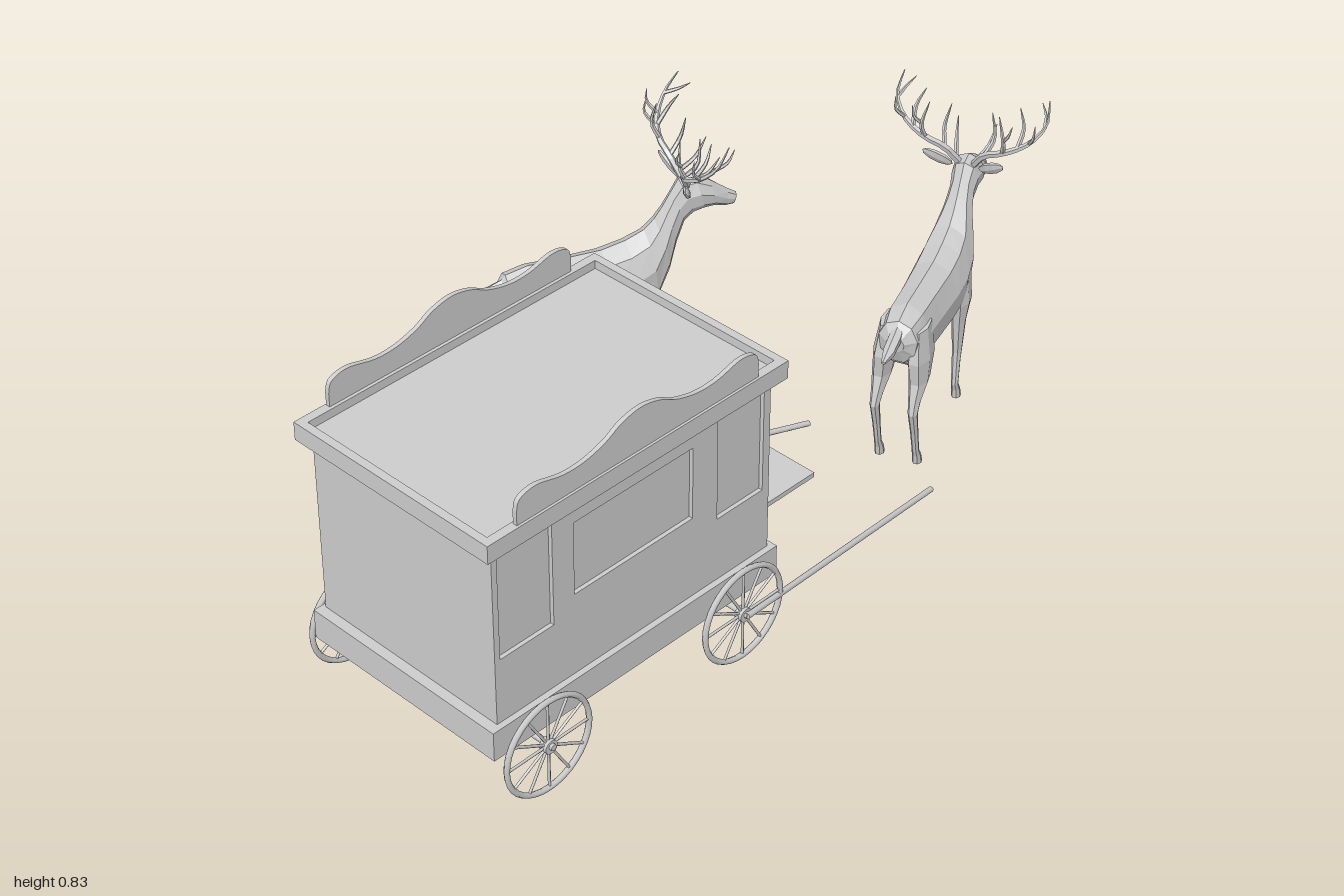
import * as THREE from 'three';

const grey = new THREE.MeshStandardMaterial({ color: 0xcccccc, side: THREE.DoubleSide });
const faceted = new THREE.MeshStandardMaterial({ color: 0xcccccc, flatShading: true, side: THREE.DoubleSide });
const V = (x, y, z) => new THREE.Vector3(x, y, z);

function add(parent, name, geometry, material = grey) {
  const mesh = new THREE.Mesh(geometry, material);
  mesh.name = name;
  parent.add(mesh);
  return mesh;
}

// box given by its limits on each axis
function box(parent, name, x0, x1, y0, y1, z0, z1) {
  const mesh = add(parent, name, new THREE.BoxGeometry(x1 - x0, y1 - y0, z1 - z0));
  mesh.position.set((x0 + x1) / 2, (y0 + y1) / 2, (z0 + z1) / 2);
  return mesh;
}

// round bar between two points
function bar(parent, name, a, b, r, sides = 8) {
  const d = b.clone().sub(a);
  const mesh = add(parent, name, new THREE.CylinderGeometry(r, r, d.length(), sides));
  mesh.position.copy(a).addScaledVector(d, 0.5);
  mesh.quaternion.setFromUnitVectors(V(0, 1, 0), d.normalize());
  return mesh;
}

function rect(x0, x1, y0, y1, Type = THREE.Shape) {
  return new Type([[x0, y0], [x1, y0], [x1, y1], [x0, y1]].map(p => new THREE.Vector2(...p)));
}

// skin over oval rings: [upper x, upper y, lower x, lower y, half width, z]
function loft(rings, sides) {
  const pos = [], index = [];
  for (const [ax, ay, bx, by, w, z = 0] of rings)
    for (let j = 0; j < sides; j++) {
      const a = (j / sides) * Math.PI * 2, c = Math.cos(a) / 2;
      pos.push((ax + bx) / 2 + c * (ax - bx), (ay + by) / 2 + c * (ay - by), z + w * Math.sin(a));
    }
  const last = (rings.length - 1) * sides;
  for (let j = 0; j < sides; j++) {
    const k = (j + 1) % sides;
    for (let i = 0; i < last; i += sides)
      index.push(i + j, i + k, i + sides + j, i + k, i + sides + k, i + sides + j);
    if (j > 0 && k > 0) index.push(0, k, j, last, last + j, last + k);
  }
  const g = new THREE.BufferGeometry();
  g.setAttribute('position', new THREE.Float32BufferAttribute(pos, 3));
  g.setIndex(index);
  g.computeVertexNormals();
  return g;
}

// tube narrowing towards its end
function taperedTube(points, r, segments, sides = 5) {
  const curve = new THREE.CatmullRomCurve3(points);
  const g = new THREE.TubeGeometry(curve, segments, r, sides);
  const p = g.attributes.position, v = V();
  for (let i = 0; i < p.count; i++) {
    const u = Math.floor(i / (sides + 1)) / segments;
    const c = curve.getPointAt(u);
    v.fromBufferAttribute(p, i).sub(c).multiplyScalar(1 - 0.85 * u * u).add(c);
    p.setXYZ(i, v.x, v.y, v.z);
  }
  return g;
}

function makeWheel(x, z) {
  const wheel = new THREE.Group();
  wheel.name = 'wheel';
  add(wheel, 'rim', new THREE.TorusGeometry(0.118, 0.007, 6, 36));
  for (let i = 0; i < 6; i++) {
    const a = (i * Math.PI) / 6, c = 0.116 * Math.cos(a), s = 0.116 * Math.sin(a);
    bar(wheel, 'spokePair', V(-c, -s, 0), V(c, s, 0), 0.0035, 6);
  }
  bar(wheel, 'hub', V(0, 0, -0.01), V(0, 0, 0.01), 0.017, 16);
  wheel.position.set(x, 0.125, z);
  return wheel;
}

function makeWagon() {
  const wagon = new THREE.Group();
  wagon.name = 'wagon';
  box(wagon, 'bodyCore', -0.97, -0.165, 0.15, 0.69, -0.05, 0.46);
  box(wagon, 'baseSkirt', -0.995, -0.15, 0.15, 0.225, -0.07, 0.485);
  box(wagon, 'driverSeat', -0.165, -0.015, 0.33, 0.342, -0.06, 0.468);

  // side walls with two tall recesses and one wide one
  const wall = rect(-0.97, -0.165, 0.2, 0.68);
  wall.holes.push(
    rect(-0.955, -0.805, 0.39, 0.65, THREE.Path),
    rect(-0.745, -0.4, 0.435, 0.62, THREE.Path),
    rect(-0.325, -0.185, 0.39, 0.65, THREE.Path));
  const wallGeo = new THREE.ExtrudeGeometry(wall, { depth: 0.01, bevelEnabled: false });
  for (const z of [-0.06, 0.46]) add(wagon, 'sideWall', wallGeo).position.z = z;

  // roof rim around a sunken lid
  const rim = rect(-1, -0.14, -0.495, 0.08);
  rim.holes.push(rect(-0.98, -0.16, -0.473, 0.058, THREE.Path));
  const rimMesh = add(wagon, 'roofRim', new THREE.ExtrudeGeometry(rim, { depth: 0.045, bevelEnabled: false }));
  rimMesh.rotation.x = -Math.PI / 2;
  rimMesh.position.y = 0.676;
  box(wagon, 'roofLid', -0.985, -0.155, 0.677, 0.7, -0.065, 0.48);

  // wavy crests along both roof edges
  const half = [[0.345, 0.755], [0.335, 0.782], [0.29, 0.792], [0.22, 0.776], [0.16, 0.776], [0.1, 0.792], [0.055, 0.815]];
  const wave = [...half, [0, 0.826], ...half.map(([x, y]) => [-x, y]).reverse()];
  const crest = new THREE.Shape();
  crest.moveTo(-0.345, 0.715);
  crest.lineTo(0.345, 0.715);
  crest.lineTo(0.345, 0.755);
  crest.splineThru(wave.slice(1).map(p => new THREE.Vector2(...p)));
  const crestGeo = new THREE.ExtrudeGeometry(crest, { depth: 0.011, bevelEnabled: false, curveSegments: 4 });
  for (const z of [-0.077, 0.478]) add(wagon, 'roofCrest', crestGeo).position.set(-0.57, 0, z);

  // wheels, axles and drawbars
  for (const x of [-0.865, -0.28]) {
    bar(wagon, 'axle', V(x, 0.128, -0.117), V(x, 0.128, 0.525), 0.008);
    for (const z of [-0.098, 0.508]) wagon.add(makeWheel(x, z));
  }
  bar(wagon, 'drawbar', V(-0.285, 0.13, -0.117), V(0.44, 0.012, 0.05), 0.007);
  bar(wagon, 'drawbar', V(-0.285, 0.13, 0.525), V(0.45, 0.012, 0.425), 0.007);
  return wagon;
}

// animal facing +x
function makeStag(x, z, turn) {
  const stag = new THREE.Group();
  stag.name = 'stag';
  add(stag, 'bodyNeckAndHead', loft([
    [-0.258, 0.39, -0.252, 0.345, 0.022], [-0.235, 0.42, -0.235, 0.305, 0.048],
    [-0.18, 0.435, -0.19, 0.265, 0.06], [-0.1, 0.436, -0.11, 0.255, 0.062],
    [0, 0.44, 0, 0.25, 0.067], [0.06, 0.455, 0.07, 0.25, 0.068],
    [0.105, 0.475, 0.13, 0.28, 0.062], [0.13, 0.5, 0.165, 0.36, 0.048],
    [0.15, 0.53, 0.183, 0.43, 0.036], [0.17, 0.565, 0.203, 0.485, 0.03],
    [0.19, 0.6, 0.225, 0.505, 0.034], [0.225, 0.606, 0.25, 0.512, 0.038],
    [0.265, 0.583, 0.278, 0.513, 0.031], [0.31, 0.55, 0.303, 0.505, 0.02],
    [0.333, 0.535, 0.323, 0.505, 0.014]], 9), faceted);
  add(stag, 'tail', loft([[-0.335, 0.372, -0.332, 0.362, 0.005], [-0.3, 0.386, -0.295, 0.358, 0.015],
    [-0.26, 0.402, -0.25, 0.37, 0.016], [-0.22, 0.42, -0.22, 0.385, 0.012]], 6), faceted);

  // leg rows: x, y, half depth, half width, z
  const front = [[0.085, 0.37, 0.04, 0.02, 0.042], [0.085, 0.29, 0.038, 0.024, 0.046], [0.08, 0.235, 0.022, 0.018, 0.045],
    [0.085, 0.14, 0.013, 0.012, 0.044], [0.083, 0.115, 0.011, 0.011, 0.044], [0.08, 0.045, 0.009, 0.009, 0.045],
    [0.09, 0.025, 0.012, 0.011, 0.045], [0.096, 0, 0.015, 0.012, 0.045]];
  const rear = [[-0.185, 0.39, 0.045, 0.02, 0.038], [-0.19, 0.31, 0.056, 0.028, 0.042], [-0.2, 0.25, 0.037, 0.024, 0.045],
    [-0.228, 0.205, 0.02, 0.015, 0.046], [-0.24, 0.175, 0.015, 0.012, 0.047], [-0.222, 0.11, 0.01, 0.01, 0.047],
    [-0.205, 0.045, 0.009, 0.009, 0.047], [-0.195, 0.025, 0.012, 0.011, 0.047], [-0.188, 0, 0.015, 0.012, 0.047]];

  // antler branches: radius, then x, y, z points
  const branches = [
    [0.009, [0.205, 0.59, 0.018], [0.185, 0.635, 0.05], [0.175, 0.66, 0.1], [0.19, 0.69, 0.153], [0.22, 0.73, 0.183], [0.25, 0.778, 0.178]],
    [0.006, [0.2, 0.605, 0.025], [0.245, 0.625, 0.04], [0.275, 0.67, 0.048]],
    [0.006, [0.186, 0.635, 0.05], [0.215, 0.67, 0.062], [0.225, 0.73, 0.05]],
    [0.006, [0.176, 0.658, 0.095], [0.158, 0.7, 0.1], [0.165, 0.76, 0.085]],
    [0.006, [0.181, 0.675, 0.128], [0.21, 0.715, 0.132], [0.23, 0.755, 0.115]],
    [0.005, [0.19, 0.69, 0.153], [0.168, 0.72, 0.168], [0.17, 0.752, 0.17]],
    [0.005, [0.162, 0.7, 0.1], [0.145, 0.725, 0.115], [0.15, 0.75, 0.122]],
    [0.005, [0.215, 0.725, 0.18], [0.25, 0.735, 0.172], [0.272, 0.755, 0.155]]];

  for (const side of [-1, 1]) {
    for (const [name, rows] of [['frontLeg', front], ['rearLeg', rear]])
      add(stag, name, loft(rows.map(([s, y, d, w, t]) => [s + d, y, s - d, y, w, t * side]), 7), faceted);
    for (const [r, ...pts] of branches)
      add(stag, 'antlerBranch', taperedTube(pts.map(p => V(p[0], p[1], p[2] * side)), r, pts.length * 2), faceted);

    // leaf-shaped ear pointing out and back
    const ear = add(stag, 'ear', new THREE.SphereGeometry(1, 6, 5), faceted);
    ear.scale.set(0.008, 0.042, 0.017);
    ear.position.set(0.188, 0.602, 0.066 * side);
    ear.quaternion.setFromUnitVectors(V(0, 1, 0), V(-0.35, 0.5, 0.8 * side).normalize());
  }
  stag.position.set(x, 0, z);
  stag.rotation.y = THREE.MathUtils.degToRad(turn);
  return stag;
}

export function createModel() {
  const model = new THREE.Group();
  model.name = 'stagDrawnWagon';
  model.add(makeWagon(), makeStag(0.17, -0.376, -27), makeStag(0.68, 0.21, 21));
  return model;
}
